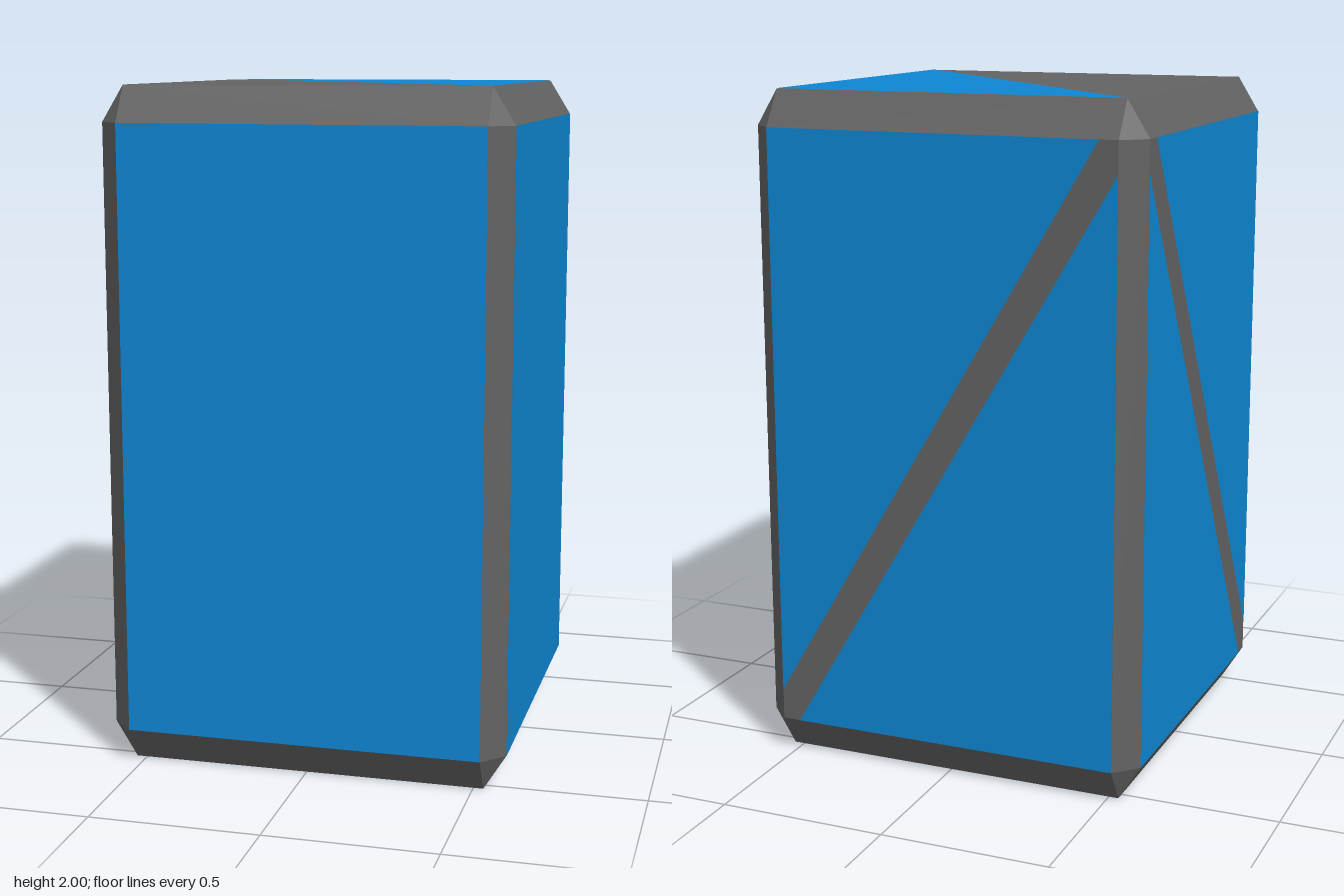
import * as THREE from 'three';
import { ConvexGeometry } from 'three/addons/geometries/ConvexGeometry.js';

const R = 0.595;          // half width
const A = 0.53;           // half width of the flat faces
const H = 1;              // half height
const B = 0.895;          // half height of the flat side faces
const LIFT = 0.001;       // panels sit just proud of the body
const SX = 0.055;         // half stripe, measured along the horizontal edge
const SY = SX * B / A;    // half stripe, measured along the vertical edge

export function createModel() {
  const model = new THREE.Group();
  model.name = 'chamferedBlock';

  const blue = new THREE.MeshStandardMaterial({ color: 0x0e87d4 });
  blue.name = 'panel blue';
  const grey = new THREE.MeshStandardMaterial({ color: 0x636363 });
  grey.name = 'frame grey';

  // Body: a box with every edge and corner cut
  const points = [];
  for (const x of [-1, 1]) for (const y of [-1, 1]) for (const z of [-1, 1]) {
    points.push(
      new THREE.Vector3(x * R, y * B, z * A),
      new THREE.Vector3(x * A, y * H, z * A),
      new THREE.Vector3(x * A, y * B, z * R));
  }
  const body = new THREE.Mesh(new ConvexGeometry(points), grey);
  body.name = 'frameBody';
  body.position.y = H;
  model.add(body);

  // Flat panel in face coordinates, turned to its side and pushed outwards
  function addPanel(name, outline, rx, ry, distance) {
    const shape = new THREE.Shape(outline.map(([x, y]) => new THREE.Vector2(x, y)));
    const panel = new THREE.Mesh(new THREE.ShapeGeometry(shape), blue);
    panel.name = name;
    panel.rotation.set(rx, ry, 0);
    panel.position.y = H;
    panel.translateZ(distance + LIFT);
    model.add(panel);
  }
  const rect = (w, h) => [[-w, -h], [w, -h], [w, h], [-w, h]];

  // Whole panels
  addPanel('frontPanel', rect(A, B), 0, 0, R);
  addPanel('leftPanel', rect(A, B), 0, Math.PI / 2, R);
  addPanel('bottomPanel', rect(A, A), Math.PI / 2, 0, H);

  // Top: half of the square
  addPanel('topPanel', [[-A, A], [A, -A], [A, A]], -Math.PI / 2, 0, H);

  // Back and right sides: two triangles with a diagonal stripe left between them
  for (const [side, m, ry] of [['back', 1, Math.PI], ['right', -1, -Math.PI / 2]]) {
    addPanel(side + 'UpperPanel', [[-m * A, B], [-m * A, SY - B], [m * (A - SX), B]], 0, ry, R);
    addPanel(side + 'LowerPanel', [[m * A, -B], [m * A, B - SY], [m * (SX - A), -B]], 0, ry, R);
  }

  return model;
}
